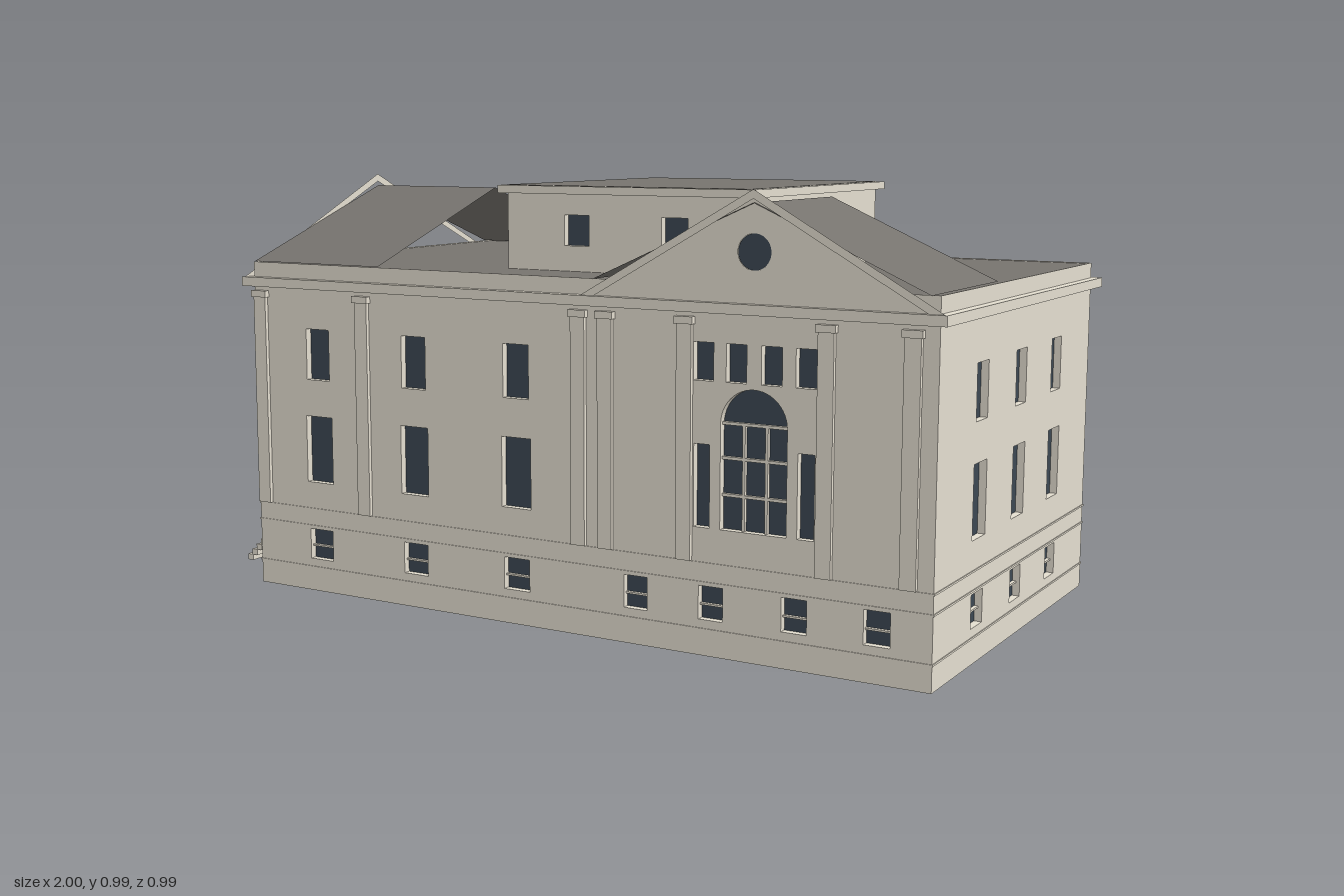
import * as THREE from 'three';

const stone = new THREE.MeshStandardMaterial({ color: 0xe3ddcf });
stone.name = 'stone';
const slate = new THREE.MeshStandardMaterial({ color: 0x76736e, side: THREE.DoubleSide });
slate.name = 'slate';
const glass = new THREE.MeshStandardMaterial({ color: 0x3c4752 });
glass.name = 'glass';

function add(parent, name, geo, mat, x = 0, y = 0, z = 0) {
  const m = new THREE.Mesh(geo, mat);
  m.name = name;
  m.position.set(x, y, z);
  parent.add(m);
  return m;
}

// Box given by its min and max corners
function box(parent, name, mat, x0, x1, y0, y1, z0, z1) {
  return add(parent, name, new THREE.BoxGeometry(x1 - x0, y1 - y0, z1 - z0), mat,
    (x0 + x1) / 2, (y0 + y1) / 2, (z0 + z1) / 2);
}

const shapeOf = pts => new THREE.Shape(pts.map(p => new THREE.Vector2(...p)));
const extrude = (shape, depth) =>
  new THREE.ExtrudeGeometry(shape, { depth, bevelEnabled: false, curveSegments: 12 });

// Rectangular or round-headed outline, grown by a margin
function outline(o, Type, grow = 0) {
  const s = new Type(), h = o.w / 2 + grow, y0 = o.y0 - grow, y1 = o.y1 + grow;
  s.moveTo(o.u - h, y0);
  s.lineTo(o.u + h, y0);
  if (o.arch) s.absarc(o.u, y1 - h, h, 0, Math.PI, false);
  else {
    s.lineTo(o.u + h, y1);
    s.lineTo(o.u - h, y1);
  }
  s.closePath();
  return s;
}

// Thin pierced wall in its own frame (u along x, outward +z) with recessed windows
function wall(parent, name, u0, u1, y0, y1, openings) {
  const g = new THREE.Group();
  g.name = name;
  parent.add(g);
  const s = shapeOf([[u0, y0], [u1, y0], [u1, y1], [u0, y1]]);
  for (const o of openings) s.holes.push(outline(o, THREE.Path));
  add(g, 'wallPanel', extrude(s, 0.003), stone, 0, 0, -0.003);
  for (const o of openings) {
    const reveal = outline(o, THREE.Shape, 0.002);
    reveal.holes.push(outline(o, THREE.Path));
    add(g, 'windowReveal', extrude(reveal, 0.019), stone, 0, 0, -0.021);
    add(g, o.blind ? 'blindPanel' : 'windowPane', extrude(outline(o, THREE.Shape), 0.004),
      o.blind ? stone : glass, 0, 0, -0.02);
    if (o.bar) box(g, 'glazingBar', stone, o.u - o.w / 2, o.u + o.w / 2, o.bar - 0.002, o.bar + 0.002, -0.016, -0.008);
  }
  return g;
}

const ground = (u, w = 0.065) => ({ u, w, y0: 0.12, y1: 0.19, bar: 0.15 });
const middle = u => ({ u, w: 0.074, y0: 0.3, y1: 0.453 });
const upper = u => ({ u, w: 0.065, y0: 0.537, y1: 0.653 });
const column = u => [ground(u), middle(u), upper(u)];

// Cornice along a wall, plus optional string courses
function trim(g, u0, u1, courses) {
  box(g, 'cornice', stone, u0 - 0.02, u1 + 0.02, 0.745, 0.766, -0.003, 0.02);
  if (courses) for (const y of [0.1, 0.197, 0.237])
    box(g, 'stringCourse', stone, u0 - 0.002, u1 + 0.002, y - 0.002, y + 0.002, -0.002, 0.002);
}

function pilaster(g, u, y0) {
  box(g, 'pilasterShaft', stone, u - 0.017, u + 0.017, y0, 0.72, -0.002, 0.009);
  box(g, 'pilasterCapital', stone, u - 0.021, u + 0.021, 0.72, 0.735, -0.002, 0.013);
}

// Pediment and roof, ridge running back along -z
function gable(parent, name, half, roofHalf, depth, apex, pane) {
  const g = new THREE.Group();
  g.name = name;
  parent.add(g);
  const face = shapeOf([[-half, 0.766], [half, 0.766], [0, apex - 0.01]]);
  face.holes.push(new THREE.Path().absarc(0, 0.867, 0.036, 0, Math.PI * 2));
  add(g, 'tympanum', new THREE.ShapeGeometry(face, 24), stone, 0, 0, 0.004);
  if (pane) add(g, 'roundWindow', new THREE.CircleGeometry(0.036, 24), glass, 0, 0.867, 0.003);
  // Flat raking cornice, faced on both sides
  const w = half + 0.018;
  const rake = new THREE.ShapeGeometry(shapeOf([[-w, 0.766], [-w + 0.032, 0.766], [0, apex - 0.018],
    [w - 0.032, 0.766], [w, 0.766], [0, apex]]));
  add(g, 'rakingCornice', rake, stone, 0, 0, 0.012);
  add(g, 'rakingCorniceBack', rake, stone, 0, 0, 0.0115).rotation.y = Math.PI;
  for (const s of [-1, 1]) {
    const slope = new THREE.BufferGeometry();
    const r = s * roofHalf;
    slope.setAttribute('position', new THREE.Float32BufferAttribute(
      [0, 0.962, 0.01, r, 0.8, 0.01, r, 0.8, -depth, 0, 0.962, -depth], 3));
    slope.setIndex(s > 0 ? [0, 1, 2, 0, 2, 3] : [0, 2, 1, 0, 3, 2]);
    slope.computeVertexNormals();
    add(g, 'gableRoof', slope, slate);
  }
  return g;
}

export function createModel() {
  const model = new THREE.Group();
  model.name = 'building';
  const X0 = -0.69, X1 = 0.975, Z = 0.475;

  // Front wall with tall arched window
  const front = wall(model, 'frontWall', X0, X1, 0.045, 0.8, [
    ...[-0.507, -0.237, 0.033].flatMap(column),
    ...[0.327, 0.502, 0.687, 0.862].map(u => ground(u, 0.055)),
    ...[0.483, 0.556, 0.633, 0.707].map(u => ({ u, w: 0.045, y0: 0.608, y1: 0.685 })),
    ...[0.48, 0.709].map(u => ({ u, w: 0.036, y0: 0.31, y1: 0.48 })),
    { u: 0.595, w: 0.146, y0: 0.31, y1: 0.597, arch: true },
  ]);
  front.position.z = Z;
  trim(front, X0, X1, true);
  for (const u of [-0.669, -0.375, 0.192, 0.257, 0.442, 0.75, 0.925]) pilaster(front, u, 0.24);
  for (const u of [0.57, 0.62]) box(front, 'archMullion', stone, u - 0.003, u + 0.003, 0.31, 0.525, -0.016, -0.008);
  for (const y of [0.38, 0.455, 0.525]) box(front, 'archTransom', stone, 0.522, 0.668, y - 0.003, y + 0.003, -0.016, -0.008);

  // Right wall
  const right = wall(model, 'rightWall', -Z, Z, 0.045, 0.8, [-0.235, 0, 0.235].flatMap(column));
  right.rotation.y = Math.PI / 2;
  right.position.x = X1;
  trim(right, -Z, Z, true);

  // Back wall
  const back = wall(model, 'backWall', -X1, -X0, 0.045, 0.8, [-0.767, -0.473, -0.142, 0.195, 0.489].flatMap(column));
  back.rotation.y = Math.PI;
  back.position.z = -Z;
  trim(back, -X1, -X0, true);

  // Left entrance wall
  const left = wall(model, 'entranceWall', -Z, Z, 0.045, 0.8, [
    ...[-0.21, 0.21].map(u => ground(u)),
    ...[-0.33, 0.33].map(u => ({ u, w: 0.066, y0: 0.315, y1: 0.5, blind: true })),
    ...[-0.24, -0.12, 0, 0.12, 0.24].map(u => ({ u, w: 0.05, y0: 0.585, y1: 0.7 })),
    { u: 0, w: 0.13, y0: 0.12, y1: 0.35, arch: true, blind: true },
  ]);
  left.rotation.y = -Math.PI / 2;
  left.position.x = X0;
  trim(left, -Z, Z, false);
  for (const u of [-0.3, -0.18, -0.06, 0.06, 0.18, 0.3]) pilaster(left, u, 0.569);

  // Main roof and the two gables
  box(model, 'mainRoof', slate, X0 + 0.004, X1 - 0.004, 0.794, 0.798, -Z + 0.004, Z - 0.004);
  const frontGable = gable(model, 'frontGable', 0.375, 0.365, 0.355, 0.988, true);
  frontGable.position.set(0.595, 0, Z);
  const leftGable = gable(model, 'entranceGable', 0.475, 0.46, 0.347, 0.99, false);
  leftGable.rotation.y = -Math.PI / 2;
  leftGable.position.x = X0;

  // Rooftop storey
  const attic = new THREE.Group();
  attic.name = 'atticStorey';
  attic.position.x = 0.21;
  model.add(attic);
  for (let i = 0; i < 4; i++) {
    const side = i % 2 === 1;
    const half = side ? 0.32 : 0.298;
    const out = side ? 0.298 : 0.32;
    const us = side ? [-0.126, 0.128] : [-0.12, 0.12];
    const w = wall(attic, 'atticWall', -half, half, 0.796, 0.966, us.map(u => ({ u, w: 0.062, y0: 0.853, y1: 0.919 })));
    w.rotation.y = i * Math.PI / 2;
    w.position.set(Math.sin(w.rotation.y) * out, 0, Math.cos(w.rotation.y) * out);
  }
  box(attic, 'atticCornice', stone, -0.313, 0.313, 0.964, 0.981, -0.338, 0.338);
  box(attic, 'atticRoof', slate, -0.298, 0.298, 0.978, 0.982, -0.323, 0.323);

  // Portico with four columns
  const portico = new THREE.Group();
  portico.name = 'portico';
  model.add(portico);
  box(portico, 'porticoFloor', stone, -0.88, X0, 0.108, 0.12, -0.226, 0.226);
  box(portico, 'entablature', stone, -0.872, X0, 0.505, 0.556, -0.218, 0.218);
  box(portico, 'porticoRoof', stone, -0.883, X0, 0.556, 0.569, -0.23, 0.23);
  const profile = [[0, 0.12], [0.023, 0.12], [0.023, 0.132], [0.019, 0.136], [0.015, 0.482],
    [0.022, 0.49], [0.022, 0.506], [0, 0.506]].map(p => new THREE.Vector2(...p));
  for (const z of [-0.19, -0.065, 0.065, 0.19])
    add(portico, 'column', new THREE.LatheGeometry(profile, 16), stone, -0.838, 0, z);

  // Open flight of overlapping steps
  const n = 8, run = 0.12 / n, rise = 0.118 / n;
  for (let i = 0; i < n; i++)
    box(model, 'step', stone, -1 + i * run, -1 + (i + 1) * run + 0.002, i * rise, (i + 1) * rise, -0.188, 0.188);

  return model;
}
